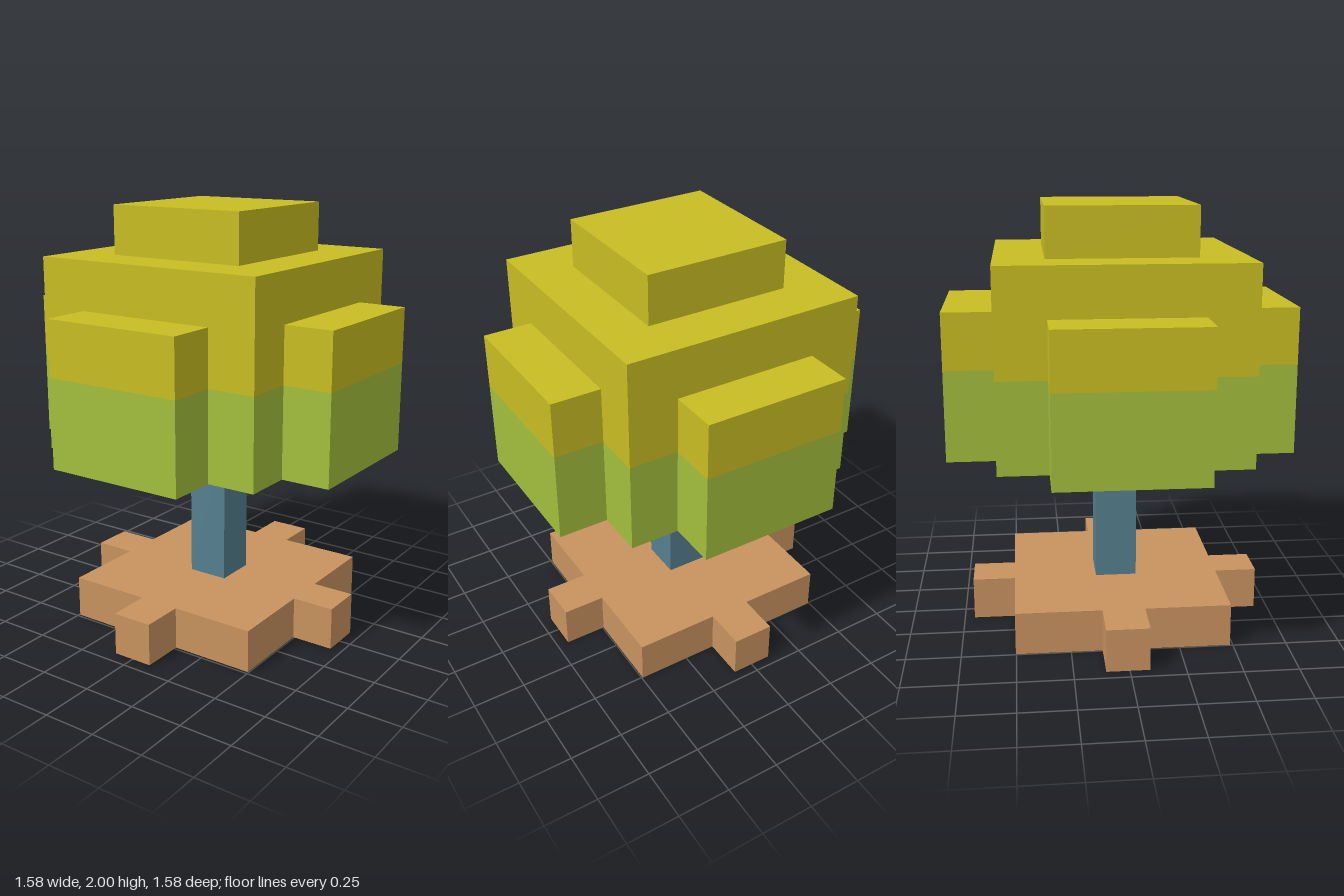
import * as THREE from 'three';

const flat = (name, color) => {
  const m = new THREE.MeshStandardMaterial({ color });
  m.name = name;
  return m;
};

// Square slab with one rectangular tab in the middle of each side
function tabbedSlab(name, material, core, reach, tab, y0, y1) {
  const quarter = [[reach, -tab], [reach, tab], [core, tab], [core, core], [tab, core]];
  const points = [];
  for (let i = 0; i < 4; i++) {
    for (let [x, y] of quarter) {
      for (let k = 0; k < i; k++) [x, y] = [-y, x];
      points.push(new THREE.Vector2(x, y));
    }
  }
  const geometry = new THREE.ExtrudeGeometry(new THREE.Shape(points), { depth: y1 - y0, bevelEnabled: false });
  geometry.rotateX(-Math.PI / 2);
  const mesh = new THREE.Mesh(geometry, material);
  mesh.name = name;
  mesh.position.y = y0;
  return mesh;
}

// Square block between two heights
function block(name, material, half, y0, y1) {
  const mesh = new THREE.Mesh(new THREE.BoxGeometry(half * 2, y1 - y0, half * 2), material);
  mesh.name = name;
  mesh.position.y = (y0 + y1) / 2;
  return mesh;
}

export function createModel() {
  const earth = flat('earth', 0xc8925f);
  const bark = flat('bark', 0x557f8f);
  const green = flat('leafGreen', 0xa3bf3c);
  const yellow = flat('leafYellow', 0xc8bd22);

  const model = new THREE.Group();
  model.name = 'tree';

  // Ground and trunk
  const ground = tabbedSlab('ground', earth, 0.495, 0.695, 0.098, 0, 0.2);
  const trunk = block('trunk', bark, 0.098, 0.2, 0.875);
  ground.position.z = trunk.position.z = -0.008;
  model.add(ground, trunk);

  // Crown: green lower half, yellow upper half, two stepped blocks on top
  const crown = new THREE.Group();
  crown.name = 'crown';
  crown.add(
    tabbedSlab('lowerLeaves', green, 0.564, 0.792, 0.337, 0.875, 1.292),
    tabbedSlab('upperLeaves', yellow, 0.564, 0.792, 0.337, 1.292, 1.55),
    block('crownShoulder', yellow, 0.564, 1.55, 1.775),
    block('crownTop', yellow, 0.337, 1.775, 2)
  );
  model.add(crown);
  return model;
}
